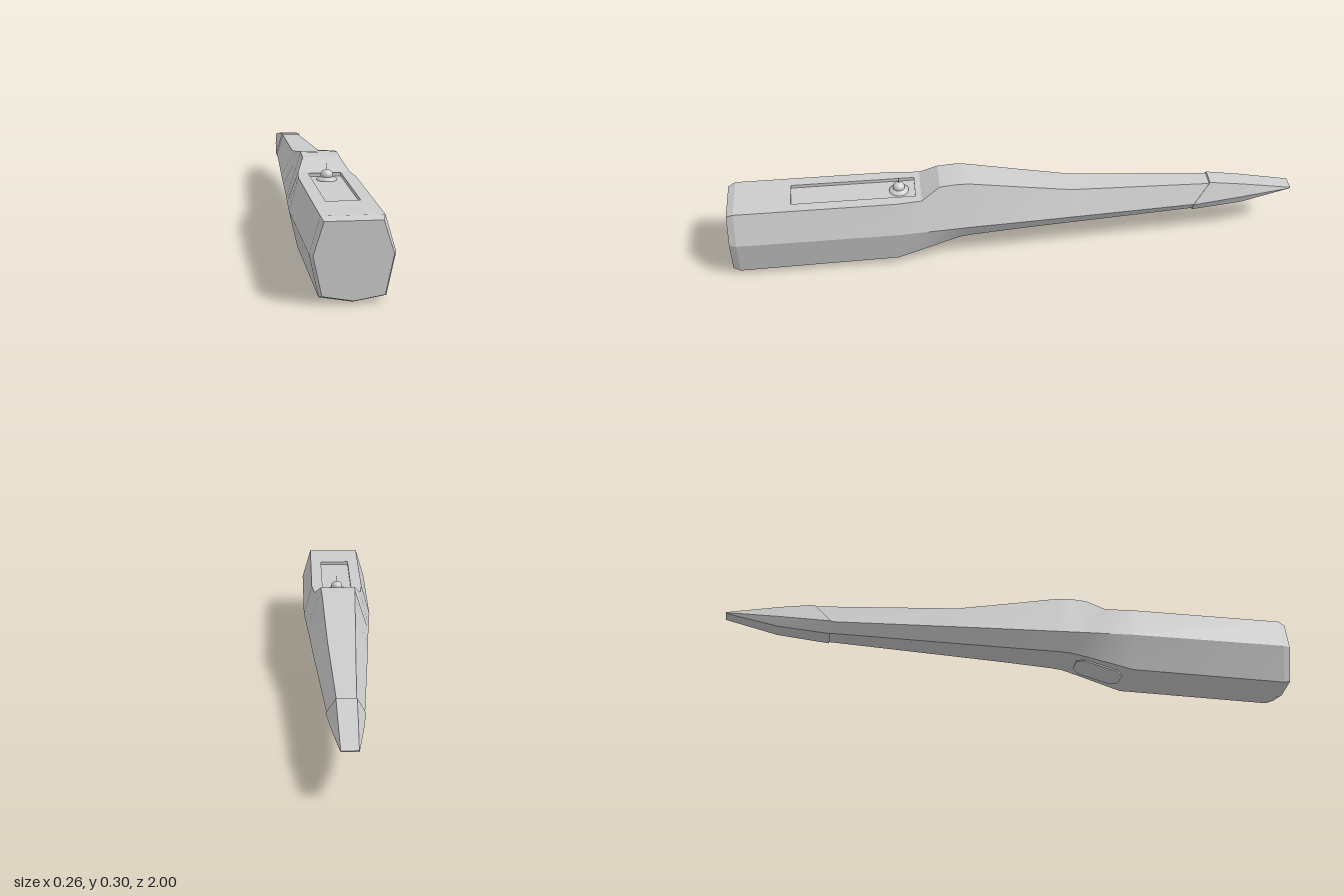
import * as THREE from 'three';
import { toCreasedNormals } from 'three/addons/utils/BufferGeometryUtils.js';

const material = new THREE.MeshStandardMaterial({ color: 0xcccccc });

function part(name, geometry) {
  const mesh = new THREE.Mesh(geometry, material);
  mesh.name = name;
  return mesh;
}

// Seven-sided cross-section: keel, then lower corner, flank and top edge on each side.
// Each row is [z, keelY, lowX, lowY, sideX, sideY, topX, topY, optional z of the top edge].
function ring([z, keelY, lowX, lowY, sideX, sideY, topX, topY, topZ = z]) {
  return [
    [0, keelY, z], [lowX, lowY, z], [sideX, sideY, z], [topX, topY, topZ],
    [-topX, topY, topZ], [-sideX, sideY, z], [-lowX, lowY, z],
  ];
}

// Skin rings running from front to back; openTop(band) leaves out the top face of a band.
function loft(rows, openTop = () => false) {
  const rings = rows.map(ring);
  const out = [];
  const tri = (a, b, c) => out.push(...a, ...b, ...c);
  for (let r = 0; r < rings.length - 1; r++) {
    const f = rings[r], b = rings[r + 1];
    for (let i = 0; i < 7; i++) {
      if (i === 3 && openTop(r)) continue;
      const j = (i + 1) % 7;
      tri(b[i], b[j], f[i]);
      tri(f[i], b[j], f[j]);
    }
  }
  const first = rings[0], last = rings[rings.length - 1];
  for (let i = 1; i < 6; i++) {
    tri(first[0], first[i], first[i + 1]);
    tri(last[0], last[i + 1], last[i]);
  }
  const g = new THREE.BufferGeometry();
  g.setAttribute('position', new THREE.Float32BufferAttribute(out, 3));
  return toCreasedNormals(g, 0.28);
}

// Shape drawn in x and z, to be laid flat facing up
const flatPoints = (pts) => pts.map(([x, z]) => new THREE.Vector2(x, -z));

export function createModel() {
  const model = new THREE.Group();
  model.name = 'handheldTool';

  // Body: bevelled end, straight grip, shoulder and long tapering neck
  model.add(part('body', loft([
    [1.0, 0.012, 0.093, 0.028, 0.119, 0.15, 0.087, 0.251],
    [0.975, 0.003, 0.1, 0.02, 0.128, 0.15, 0.095, 0.262],
    [0.42, 0.025, 0.098, 0.028, 0.126, 0.15, 0.095, 0.262],
    [0.33, 0.05, 0.09, 0.052, 0.12, 0.15, 0.086, 0.262],
    [0.265, 0.068, 0.083, 0.069, 0.116, 0.15, 0.063, 0.3],
    [0.2, 0.085, 0.076, 0.085, 0.112, 0.15, 0.062, 0.305],
    [0.16, 0.088, 0.073, 0.088, 0.109, 0.15, 0.06, 0.302],
    [-0.02, 0.094, 0.063, 0.094, 0.099, 0.149, 0.054, 0.27],
    [-0.2, 0.099, 0.055, 0.099, 0.088, 0.148, 0.048, 0.239],
    [-0.66, 0.112, 0.036, 0.112, 0.059, 0.145, 0.031, 0.212, -0.71],
  ], (band) => band === 1 || band === 2)));

  // Top plate with the recessed slot
  const plate = new THREE.Shape(flatPoints([
    [-0.095, 0.975], [0.095, 0.975], [0.095, 0.42], [0.086, 0.33], [-0.086, 0.33], [-0.095, 0.42],
  ]));
  plate.holes.push(new THREE.Path(flatPoints([
    [-0.054, 0.78], [-0.054, 0.35], [0.054, 0.35], [0.054, 0.78],
  ])));
  const plateGeometry = new THREE.ExtrudeGeometry(plate, { depth: 0.012, bevelEnabled: false });
  plateGeometry.rotateX(-Math.PI / 2).translate(0, 0.25, 0);
  model.add(part('topPlate', plateGeometry));

  const floor = new THREE.PlaneGeometry(0.12, 0.44);
  floor.rotateX(-Math.PI / 2).translate(0, 0.2505, 0.565);
  model.add(part('slotFloor', floor));

  // Button: flared foot, narrow waist, round knob and pin
  const button = new THREE.Group();
  button.name = 'button';
  button.position.set(0, 0.25, 0.405);
  const foot = [[0.034, 0], [0.034, 0.004], [0.028, 0.009], [0.018, 0.012], [0.014, 0.018]]
    .map(([x, y]) => new THREE.Vector2(x, y));
  button.add(part('buttonFoot', new THREE.LatheGeometry(foot, 32)));
  const knob = part('buttonKnob', new THREE.SphereGeometry(0.021, 24, 16));
  knob.scale.y = 0.85;
  knob.position.y = 0.017;
  const pin = part('buttonPin', new THREE.CylinderGeometry(0.0015, 0.0015, 0.022, 8));
  pin.position.y = 0.044;
  button.add(knob, pin);
  model.add(button);

  // Pointed end cap with a slanted rim, narrowing to a flat edge
  model.add(part('tipCap', loft([
    [-0.64, 0.106, 0.04, 0.108, 0.064, 0.146, 0.033, 0.218, -0.7],
    [-0.82, 0.122, 0.036, 0.124, 0.048, 0.156, 0.031, 0.2],
    [-1.0, 0.163, 0.026, 0.163, 0.028, 0.165, 0.027, 0.167],
  ])));

  // Eight-sided cover on the sloping underside
  const w = 0.058, h = 0.085, c = 0.025;
  const cover = new THREE.Shape([
    [w, h - c], [w - c, h], [c - w, h], [-w, h - c], [-w, c - h], [c - w, -h], [w - c, -h], [w, c - h],
  ].map(([x, y]) => new THREE.Vector2(x, y)));
  const underCover = part('underCover',
    new THREE.ExtrudeGeometry(cover, { depth: 0.006, bevelEnabled: false }));
  underCover.rotation.x = Math.PI / 2 + Math.atan(0.06 / 0.22);
  underCover.position.set(0, 0.056, 0.315);
  model.add(underCover);

  return model;
}
